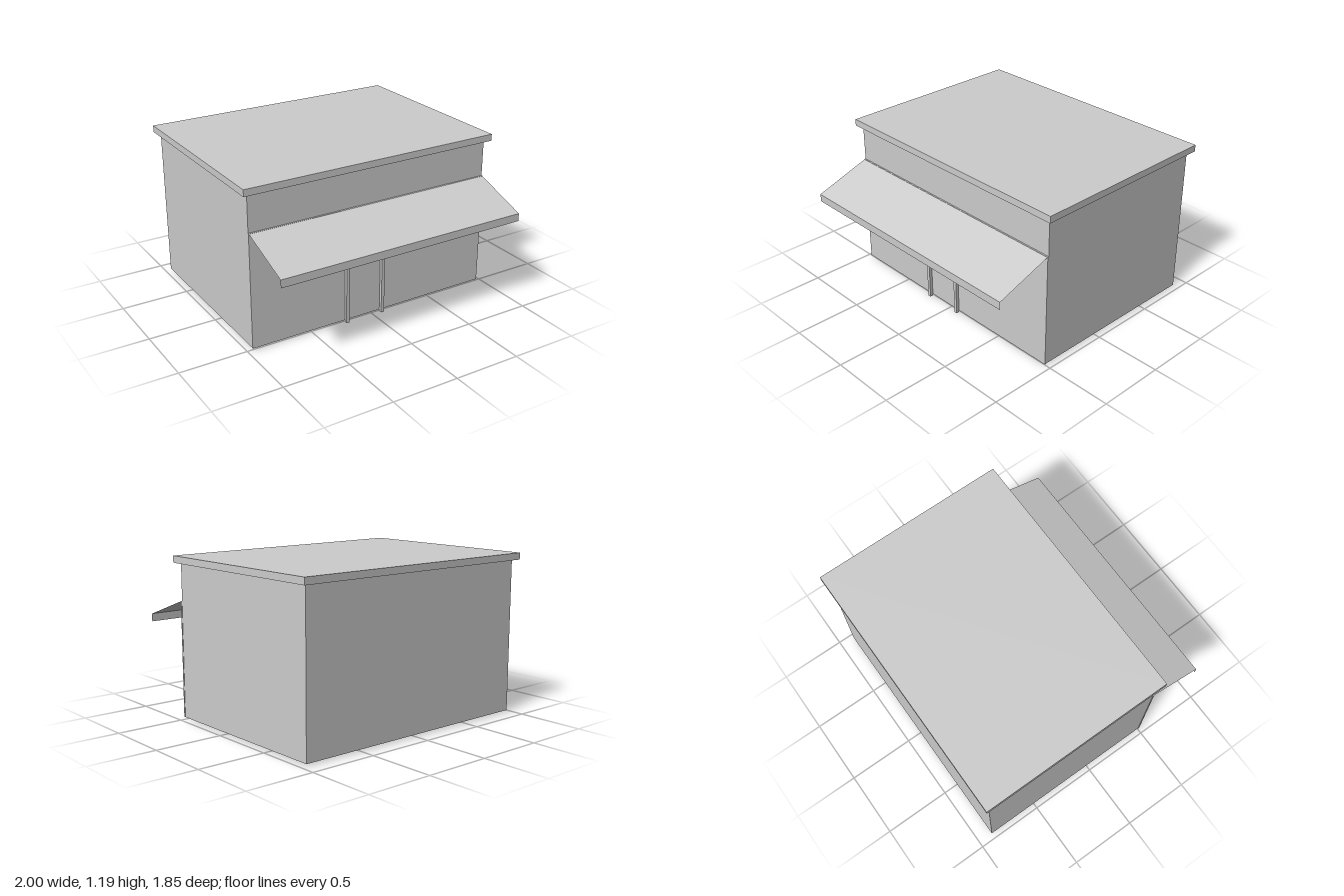
import * as THREE from 'three';

export function createModel() {
  const group = new THREE.Group();
  const grey = new THREE.MeshStandardMaterial({ name: 'plain grey', color: 0xcccccc });
  const greySheet = new THREE.MeshStandardMaterial({ name: 'plain grey sheet', color: 0xcccccc, side: THREE.DoubleSide });

  // Box given by its lower and upper corners
  const box = (name, [x0, y0, z0], [x1, y1, z1]) => {
    const mesh = new THREE.Mesh(new THREE.BoxGeometry(x1 - x0, y1 - y0, z1 - z0), grey);
    mesh.position.set((x0 + x1) / 2, (y0 + y1) / 2, (z0 + z1) / 2);
    mesh.name = name;
    group.add(mesh);
  };

  // Building, flat overhanging roof and shopfront facing
  box('walls', [-0.96, 0.015, -0.888], [0.96, 1.14, 0.5]);
  box('roofSlab', [-1, 1.14, -0.927], [1, 1.19, 0.537]);
  box('shopfrontPanel', [-0.963, 0.015, 0.5], [0.963, 0.867, 0.511]);

  // Door posts
  box('rightDoorPost', [-0.23, 0, 0.511], [-0.205, 0.71, 0.535]);
  box('leftDoorPost', [0.065, 0, 0.511], [0.09, 0.71, 0.535]);

  // Open sheet spanning the shopfront between two (y, z) edges
  const sheet = (name, [yTop, zTop], [yLow, zLow]) => {
    const w = 0.96;
    const geometry = new THREE.BufferGeometry();
    geometry.setAttribute('position', new THREE.Float32BufferAttribute([
      -w, yLow, zLow, w, yLow, zLow, w, yTop, zTop, -w, yTop, zTop,
    ], 3));
    geometry.setIndex([0, 1, 2, 0, 2, 3]);
    geometry.computeVertexNormals();
    const mesh = new THREE.Mesh(geometry, greySheet);
    mesh.name = name;
    group.add(mesh);
  };

  // Sloping awning with a hanging valance
  sheet('awning', [0.865, 0.511], [0.72, 0.925]);
  sheet('awningValance', [0.72, 0.925], [0.662, 0.925]);

  return group;
}
